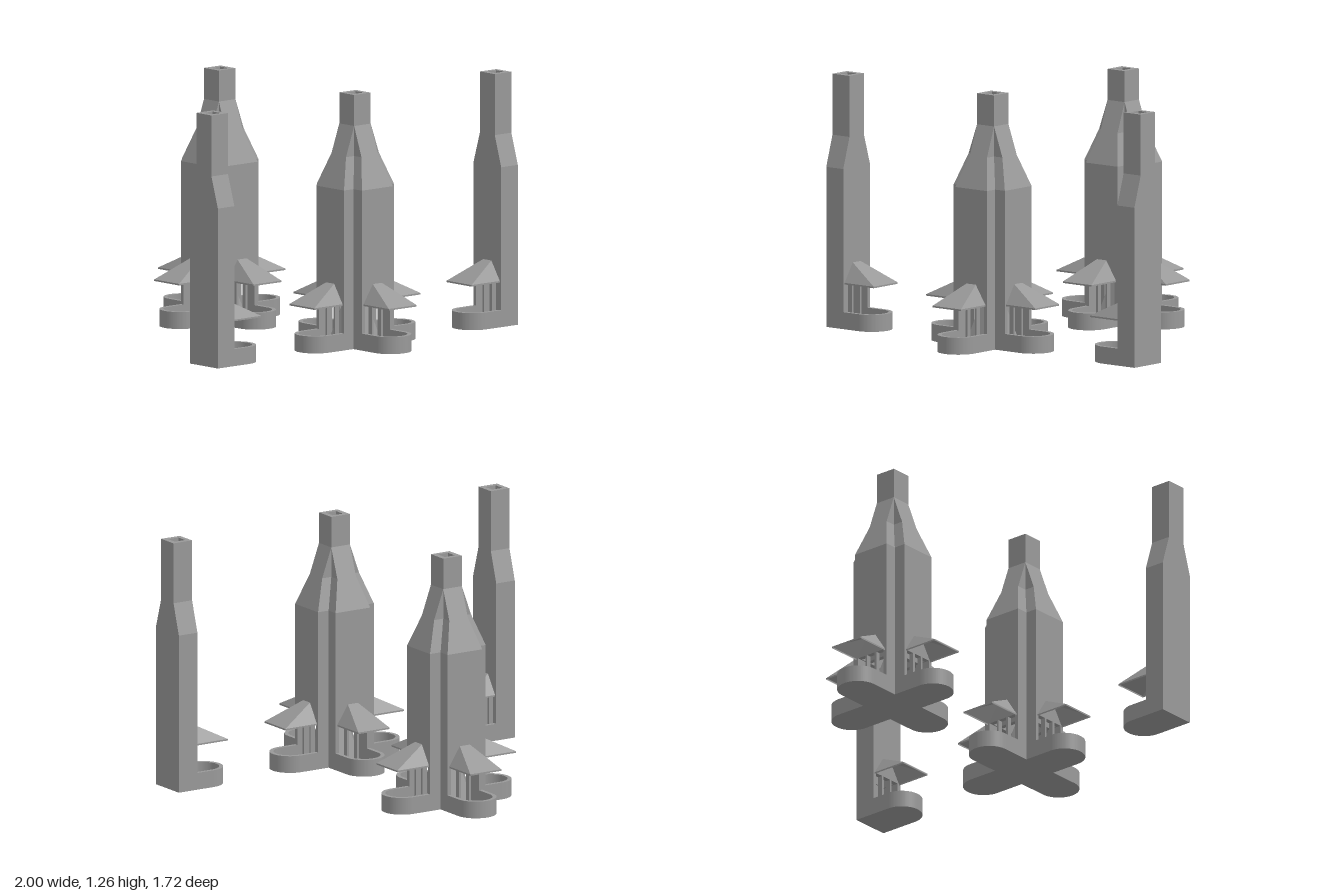
import * as THREE from 'three';

const grey = new THREE.MeshStandardMaterial({ color: 0x999999 });
grey.name = 'plain grey';
const greyThin = grey;
greyThin.side = THREE.DoubleSide;

const HALF = 0.1025;   // half width of a feeder arm
const NECK = 0.055;    // half width of the square neck
const WALL = 0.025;    // shell thickness
const REACH = 0.2;     // tray length beyond the face
const OPEN_Y = 0.23;   // top of the feeding opening
const RIM_Y = 0.085;

function add(parent, geometry, name) {
  const mesh = new THREE.Mesh(geometry, grey);
  mesh.name = name;
  parent.add(mesh);
  return mesh;
}

function box(parent, name, x0, x1, y0, y1, z0, z1) {
  const g = new THREE.BoxGeometry(x1 - x0, y1 - y0, z1 - z0);
  g.translate((x0 + x1) / 2, (y0 + y1) / 2, (z0 + z1) / 2);
  return add(parent, g, name);
}

function fromTriangles(points) {
  const g = new THREE.BufferGeometry();
  g.setAttribute('position', new THREE.Float32BufferAttribute(points.flat(), 3));
  g.computeVertexNormals();
  return g;
}

// Hollow rectangular shaft tapering to a square neck, open at both ends
function shaftGeometry(reach) {
  const mid = NECK + (reach - NECK) * (1.105 - 0.955) / (1.105 - 0.8);
  const outer = [
    [OPEN_Y, reach, HALF], [0.8, reach, HALF], [0.955, mid, NECK],
    [1.105, NECK, NECK], [1.26, NECK, NECK],
  ];
  const inner = outer.map(([y, a, b]) => [y, a - WALL, b - WALL]).reverse();
  const rings = [...outer, ...inner, outer[0]].map(([y, a, b]) =>
    [[a, y, b], [a, y, -b], [-a, y, -b], [-a, y, b]]);
  const tris = [];
  for (let i = 0; i < rings.length - 1; i++) {
    for (let j = 0; j < 4; j++) {
      const k = (j + 1) % 4;
      const [a, b, c, d] = [rings[i][j], rings[i][k], rings[i + 1][k], rings[i + 1][j]];
      tris.push(a, b, c, a, c, d);
    }
  }
  return fromTriangles(tris);
}

// Outline of a strip with a semicircular end, seen from above
function lobe(shape, start, end, half) {
  shape.moveTo(start, -half);
  shape.lineTo(end - half, -half);
  shape.absarc(end - half, 0, half, -Math.PI / 2, Math.PI / 2, false);
  shape.lineTo(start, half);
  return shape;
}

function extrudeUp(shape, y0, y1) {
  const g = new THREE.ExtrudeGeometry(shape, { depth: y1 - y0, bevelEnabled: false, curveSegments: 24 });
  g.rotateX(-Math.PI / 2);
  g.translate(0, y0, 0);
  return g;
}

// Small sloping rain roof over the tray
function roofGeometry(face) {
  const tip = face + 0.187, w = 0.092, r = 0.03, top = 0.325, edge = 0.008;
  const tl = [face, top, r], tr = [face, top, -r];
  const fl = [tip, OPEN_Y, w], fr = [tip, OPEN_Y, -w];
  const bl = [face, OPEN_Y, w], br = [face, OPEN_Y, -w];
  const down = (p) => [p[0], p[1] - edge, p[2]];
  const tris = [tl, fl, fr, tl, fr, tr, tl, bl, fl, tr, fr, br];
  for (const [a, b] of [[bl, fl], [fl, fr], [fr, br]]) {
    tris.push(a, down(a), down(b), a, down(b), b);
  }
  return fromTriangles(tris);
}

// One feeding side pointing along +x: tray, opening with posts, roof
function feedingSide(face, start, cheekStart) {
  const side = new THREE.Group();
  side.name = 'feedingSide';
  const end = face + REACH, t = 0.02;
  add(side, extrudeUp(lobe(new THREE.Shape(), start, end, HALF), 0, 0.02), 'trayFloor');

  // U-shaped rim of the tray
  const rim = lobe(new THREE.Shape(), face - t, end, HALF);
  rim.lineTo(face - t, HALF - t);
  rim.lineTo(end - HALF, HALF - t);
  rim.absarc(end - HALF, 0, HALF - t, Math.PI / 2, -Math.PI / 2, true);
  rim.lineTo(face - t, -HALF + t);
  add(side, extrudeUp(rim, 0, RIM_Y), 'trayRim');

  for (const s of [-1, 1]) {
    const z = s * (HALF - t / 2);
    box(side, 'cheekWall', cheekStart, face, 0, OPEN_Y, z - t / 2, z + t / 2);
    const p = s * 0.03;
    box(side, 'openingPost', face - WALL, face, 0.02, OPEN_Y, p - 0.006, p + 0.006);
  }
  add(side, roofGeometry(face), 'roof');
  return side;
}

// Feeder with one side, for standing against a wall
function singleFeeder(name) {
  const g = new THREE.Group();
  g.name = name;
  add(g, shaftGeometry(NECK), 'shaft');
  g.add(feedingSide(NECK, -NECK, -NECK));
  box(g, 'backWall', -NECK, -NECK + 0.02, 0, OPEN_Y, -HALF, HALF);
  return g;
}

// Free-standing feeder with four sides
function crossFeeder(name) {
  const g = new THREE.Group();
  g.name = name;
  const face = 0.165;
  for (let i = 0; i < 2; i++) add(g, shaftGeometry(face), 'shaft').rotation.y = i * Math.PI / 2;
  for (let i = 0; i < 4; i++) {
    const side = feedingSide(face, 0, HALF - 0.02);
    side.rotation.y = i * Math.PI / 2;
    g.add(side);
  }
  // Central cone that spreads the feed outwards
  const cone = new THREE.CylinderGeometry(0.02, 0.13, 0.3, 4).toNonIndexed();
  cone.computeVertexNormals();
  cone.rotateY(Math.PI / 4);
  cone.translate(0, 0.17, 0);
  add(g, cone, 'spreaderCone');
  return g;
}

export function createModel() {
  const model = new THREE.Group();
  model.name = 'feederSet';
  const layout = new THREE.Group();
  layout.name = 'layout';
  layout.rotation.y = -0.089;
  layout.position.z = 0.4975;
  model.add(layout);

  const frontCross = crossFeeder('frontCrossFeeder');
  const backCross = crossFeeder('backCrossFeeder');
  backCross.position.z = -0.999;
  const rightSingle = singleFeeder('rightWallFeeder');
  rightSingle.position.set(-0.94, 0, -0.008);
  const leftSingle = singleFeeder('leftWallFeeder');
  leftSingle.position.set(0.94, 0, -0.008);
  leftSingle.rotation.y = Math.PI;
  layout.add(frontCross, backCross, rightSingle, leftSingle);
  return model;
}
